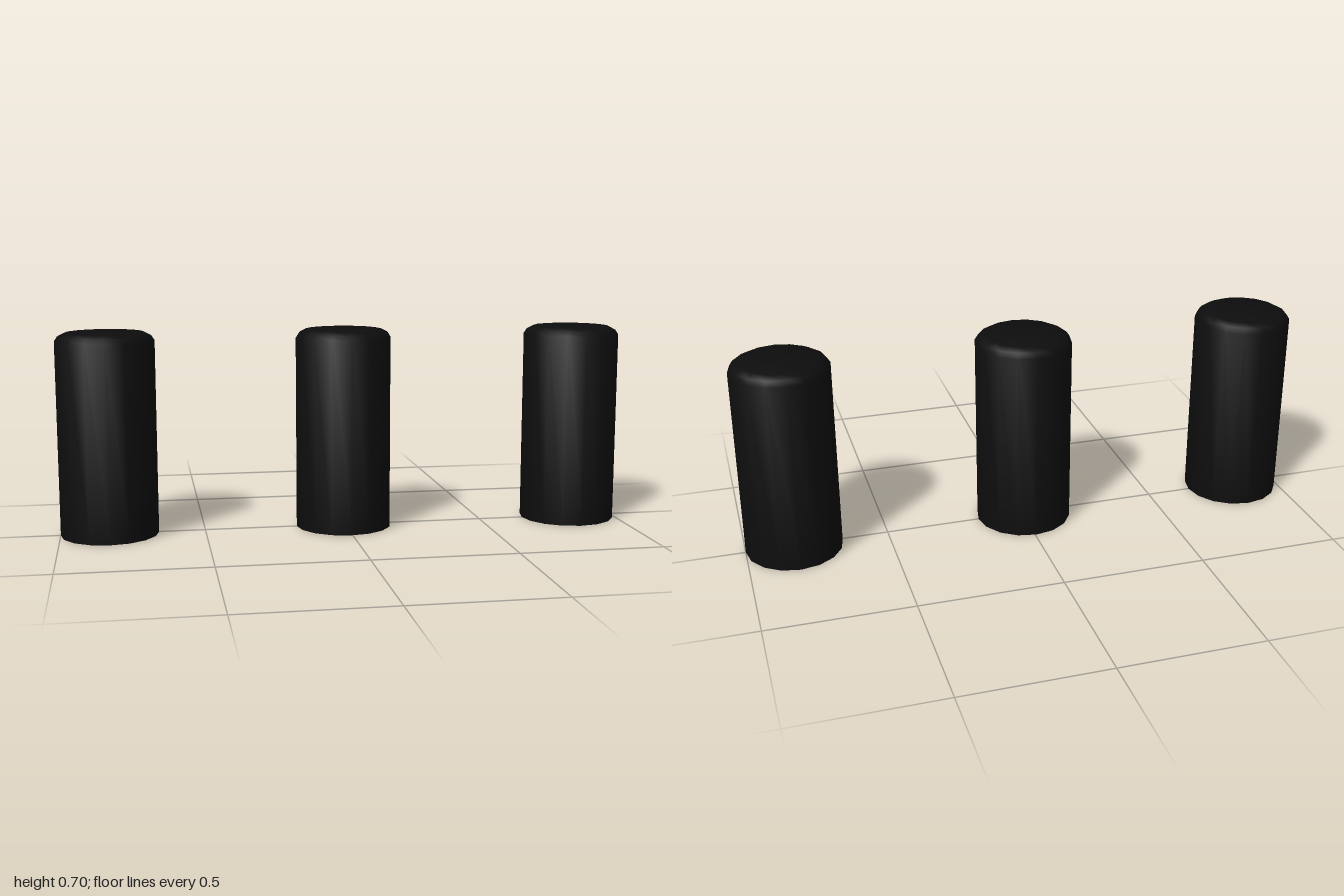
import * as THREE from 'three';
import { toCreasedNormals } from 'three/addons/utils/BufferGeometryUtils.js';

export function createModel() {
  const group = new THREE.Group();
  group.name = 'pegs';
  const material = new THREE.MeshStandardMaterial({ color: 0x0d0d0d });

  // Half outline of one peg: flat base, straight wall, rounded top rim
  const profile = [
    [0, 0], [0.169, 0], [0.169, 0.675], [0.158, 0.692], [0.135, 0.704], [0, 0.704],
  ].map(([r, y]) => new THREE.Vector2(r, y));
  const geometry = toCreasedNormals(new THREE.LatheGeometry(profile, 16), 0.75);

  // Three identical pegs in a row
  const pegs = { rightPeg: -0.831, middlePeg: -0.005, leftPeg: 0.831 };
  for (const [name, x] of Object.entries(pegs)) {
    const peg = new THREE.Mesh(geometry, material);
    peg.name = name;
    peg.position.x = x;
    group.add(peg);
  }
  return group;
}
